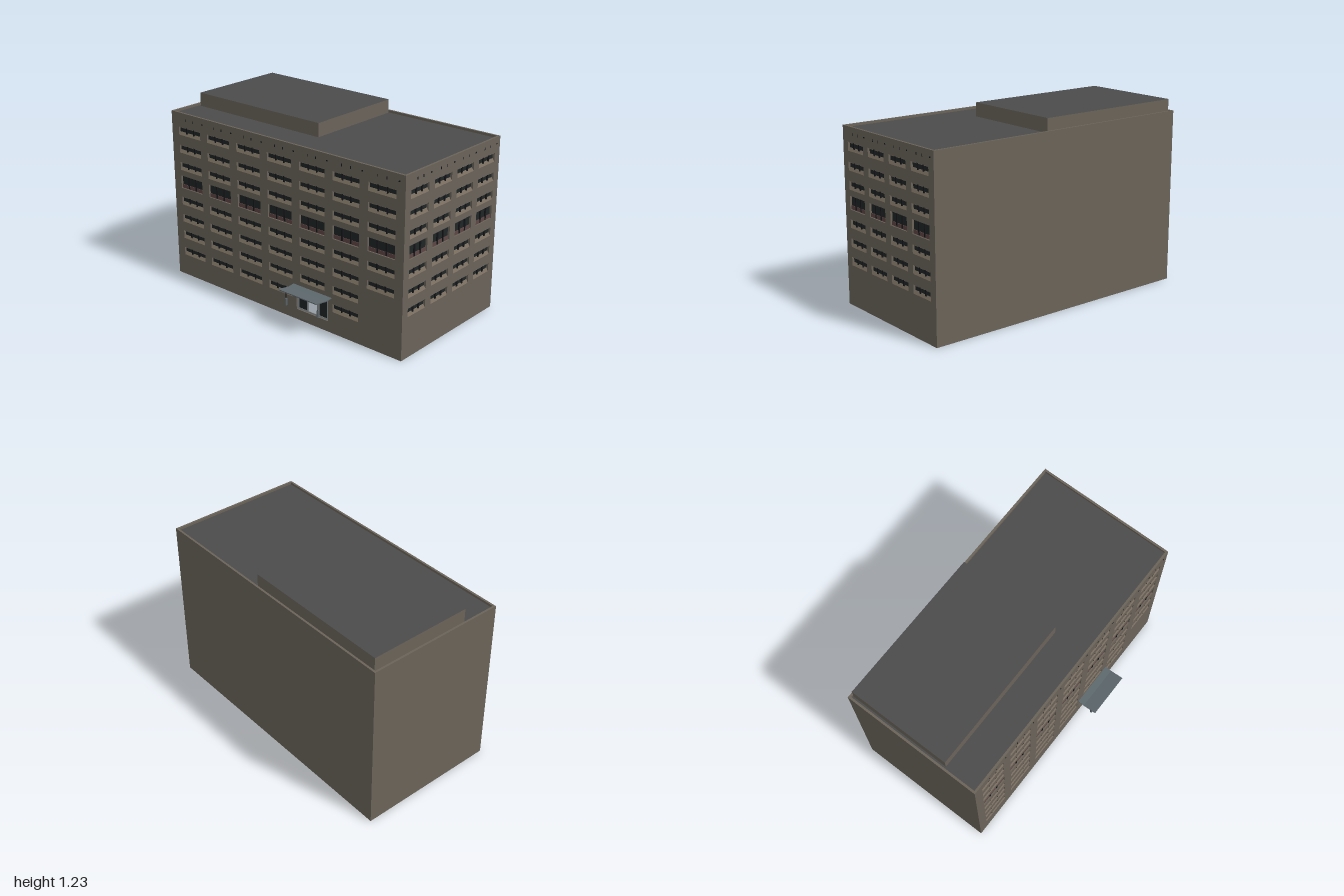
import * as THREE from 'three';

const mat = (color) => new THREE.MeshStandardMaterial({ color, side: THREE.DoubleSide });
const WALL = mat(0x6a6359), ROOF = mat(0x4b4b4b), GLASS = mat(0x1f2426), SILL = mat(0x786c5e);
const FRAME = mat(0x15171a), PANEL = mat(0x5e4644), CANOPY = mat(0x5c676c), DOOR = mat(0x8c9294);

const W = 0.944, D = 1.908, H = 1.15, T = 0.014;
// Window rows from the top: [bottom, top]
const ROWS = [[0.998, 1.054], [0.875, 0.93], [0.754, 0.81], [0.628, 0.715],
  [0.51, 0.566], [0.387, 0.442], [0.267, 0.322], [0.145, 0.2]];
const TALL = 3;

function mesh(parent, name, geometry, material, x = 0, y = 0, z = 0) {
  const m = new THREE.Mesh(geometry, material);
  m.name = name;
  m.position.set(x, y, z);
  parent.add(m);
  return m;
}

const box = (parent, name, w, h, d, material, x, y, z) =>
  mesh(parent, name, new THREE.BoxGeometry(w, h, d), material, x, y, z);

function rect(Type, x0, y0, x1, y1) {
  const r = new Type();
  r.moveTo(x0, y0);
  r.lineTo(x1, y0);
  r.lineTo(x1, y1);
  r.lineTo(x0, y1);
  r.closePath();
  return r;
}

// Glass, mullions and sloping sill behind one opening
function addWindow(parent, x, w, [y0, y1], tall) {
  const g = new THREE.Group();
  g.name = 'window';
  g.position.set(x, y0, 0);
  const h = y1 - y0;
  mesh(g, 'glass', new THREE.PlaneGeometry(w, h), GLASS, 0, h / 2, -T);
  if (tall) {
    box(g, 'lowerPanel', w, 0.025, 0.004, PANEL, 0, 0.0125, -T + 0.003);
  } else {
    const wedge = new THREE.Shape([[0, 0], [T, 0], [0, 0.02]].map((p) => new THREE.Vector2(...p)));
    const sill = mesh(g, 'sill', new THREE.ExtrudeGeometry(wedge, { depth: w, bevelEnabled: false }),
      SILL, w / 2, 0, -T);
    sill.rotation.y = -Math.PI / 2;
    box(g, 'lintel', w, 0.007, 0.006, SILL, 0, h - 0.0035, -T + 0.004);
  }
  for (const s of [-1, 1]) {
    const base = tall ? 0.004 : 0.014;
    box(g, 'mullion', 0.009, h - base, 0.008, FRAME, s * w * 0.165, (h + base) / 2, -T + 0.005);
  }
  parent.add(g);
}

// Windowed wall in the plane z = 0, facing +z
function facade(name, length, columns, pitch, winWidth, hasWindow, door) {
  const g = new THREE.Group();
  g.name = name;
  const shape = rect(THREE.Shape, -length / 2, 0, length / 2, H);
  for (let c = 0; c < columns; c++) {
    const x = (c - (columns - 1) / 2) * pitch;
    ROWS.forEach((row, r) => {
      if (!hasWindow(c, r)) return;
      shape.holes.push(rect(THREE.Path, x - winWidth / 2, row[0], x + winWidth / 2, row[1]));
      addWindow(g, x, winWidth, row, r === TALL);
    });
    // Small vents under the parapet
    for (const s of [-1, 1]) box(g, 'vent', 0.004, 0.016, 0.004, FRAME, x + s * winWidth * 0.165, 1.107, 0);
    box(g, 'vent', 0.01, 0.008, 0.004, FRAME, x + winWidth * 0.6, 1.108, 0);
  }
  if (door) shape.holes.push(rect(THREE.Path, ...door));
  mesh(g, name + 'Wall', new THREE.ExtrudeGeometry(shape, { depth: T, bevelEnabled: false }), WALL, 0, 0, -T);
  return g;
}

// Door screen with an open centre, sheltered by a canopy with hanging lamps
function entrance(x) {
  const g = new THREE.Group();
  g.name = 'entrance';
  g.position.x = x;
  const screen = rect(THREE.Shape, -0.13, 0.07, 0.13, 0.225);
  for (const [a, b] of [[-0.115, -0.05], [-0.04, 0.04], [0.05, 0.115]]) {
    screen.holes.push(rect(THREE.Path, a, 0.08, b, 0.195));
  }
  mesh(g, 'doorFrame', new THREE.ExtrudeGeometry(screen, { depth: 0.006, bevelEnabled: false }), DOOR, 0, 0, -T);
  for (const s of [-1, 1]) {
    mesh(g, 'sideGlass', new THREE.PlaneGeometry(0.065, 0.115), GLASS, s * 0.0825, 0.1375, -T + 0.003);
  }

  const width = 0.31;
  const line = [[0, 0.238], [0.045, 0.234], [0.095, 0.242], [0.138, 0.248]];
  const outline = [...line, ...line.map(([u, v]) => [u, v - 0.006]).reverse()];
  const profile = new THREE.Shape(outline.map((p) => new THREE.Vector2(...p)));
  const roof = mesh(g, 'canopy', new THREE.ExtrudeGeometry(profile, { depth: width, bevelEnabled: false }),
    CANOPY, width / 2, 0, 0);
  roof.rotation.y = -Math.PI / 2;
  for (const s of [-1, 0, 1]) box(g, 'canopyBeam', 0.006, 0.008, 0.09, FRAME, s * 0.13, 0.23, 0.045);
  for (const s of [-1, 1]) {
    mesh(g, 'lampRod', new THREE.CylinderGeometry(0.0025, 0.0025, 0.06, 6), FRAME, s * 0.13, 0.207, 0.096);
    mesh(g, 'lamp', new THREE.CylinderGeometry(0.008, 0.008, 0.047, 10), CANOPY, s * 0.13, 0.157, 0.096);
  }
  return g;
}

export function createModel() {
  const model = new THREE.Group();
  model.name = 'officeBlock';
  const building = new THREE.Group();
  building.name = 'building';
  building.position.set(0.04, 0, -0.005);
  building.rotation.y = -0.0945;
  model.add(building);

  // Windowed front and entrance side
  const front = facade('front', W, 4, 0.2235, 0.17, (c, r) => r < 7);
  front.position.z = D / 2;
  building.add(front);

  const pitch = 0.2636, doorX = pitch;
  const side = facade('entranceSide', D, 7, pitch, 0.2,
    (c, r) => r < 6 || (c !== 6 && (r === 6 || c !== 4)),
    [doorX - 0.13, 0.07, doorX + 0.13, 0.225]);
  side.add(entrance(doorX));
  side.rotation.y = -Math.PI / 2;
  side.position.x = -W / 2;
  building.add(side);

  // Blank walls
  box(building, 'backWall', W, H, T, WALL, 0, H / 2, -D / 2 + T / 2);
  box(building, 'blankSideWall', T, H, D, WALL, W / 2 - T / 2, H / 2, 0);

  // Sunken roof and rooftop plant room
  box(building, 'roof', W - 2 * T, 0.01, D - 2 * T, ROOF, 0, H - 0.02, 0);
  box(building, 'plantRoom', 0.69, 0.095, 1.04, [WALL, WALL, ROOF, WALL, WALL, WALL], 0.106, 1.1775, -0.407);
  return model;
}
